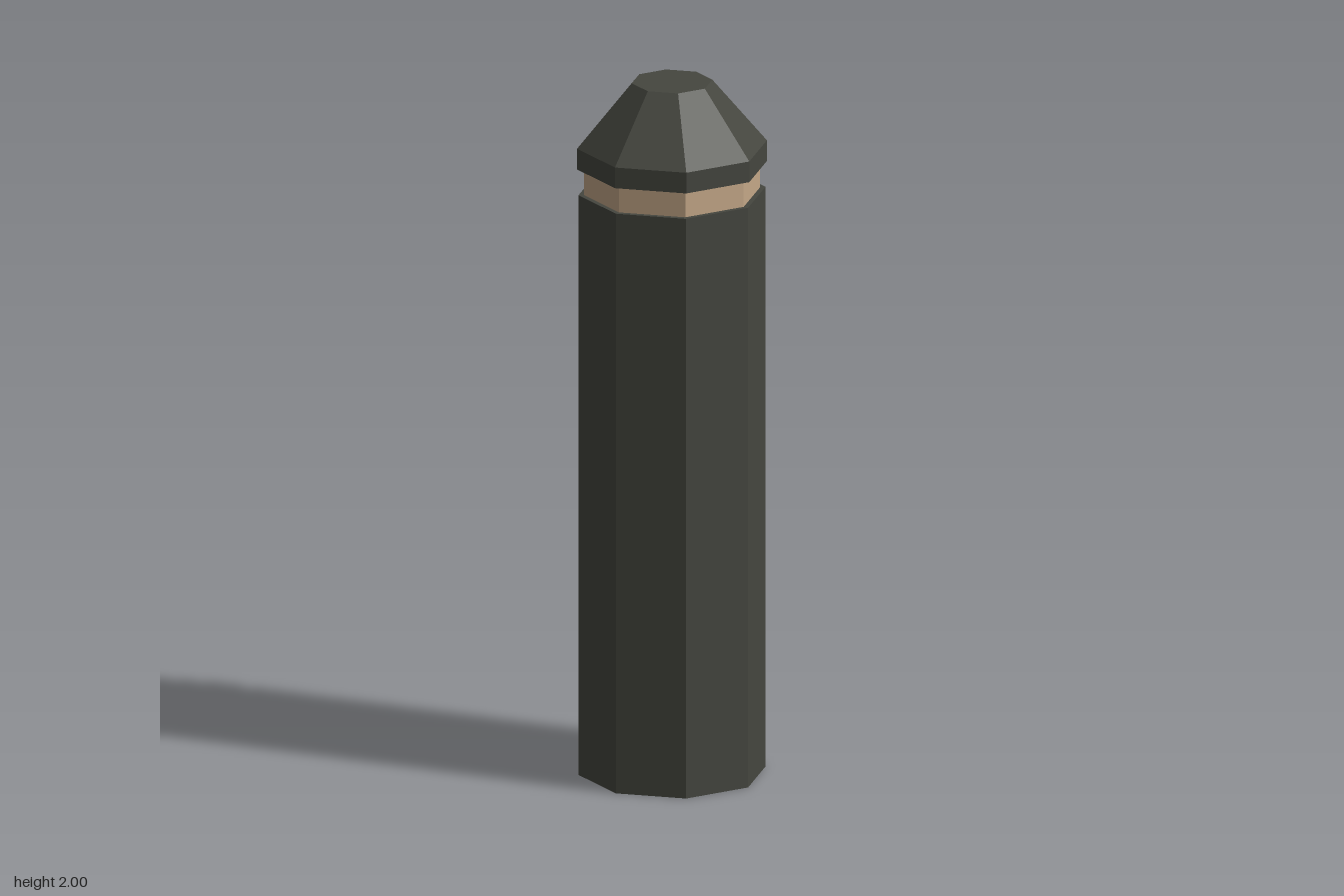
import * as THREE from 'three';

export function createModel() {
  const group = new THREE.Group();
  const darkGrey = new THREE.MeshStandardMaterial({ name: 'darkGrey', color: 0x45463f });
  const tan = new THREE.MeshStandardMaterial({ name: 'tan', color: 0xc4a888 });

  // Flat-faced octagonal section between two heights
  const section = (name, material, rBottom, rTop, y0, y1, open = false) => {
    const geometry = new THREE.CylinderGeometry(rTop, rBottom, y1 - y0, 8, 1, open).toNonIndexed();
    geometry.computeVertexNormals();
    const mesh = new THREE.Mesh(geometry, material);
    mesh.name = name;
    mesh.position.y = (y0 + y1) / 2;
    group.add(mesh);
  };

  // Post and recessed band
  section('post', darkGrey, 0.262, 0.262, 0, 1.682);
  section('band', tan, 0.247, 0.247, 1.682, 1.757, true);

  // Cap: rim with a tapered, flat-topped crown
  section('capRim', darkGrey, 0.266, 0.266, 1.757, 1.817);
  section('capCrown', darkGrey, 0.266, 0.113, 1.817, 2);

  return group;
}
